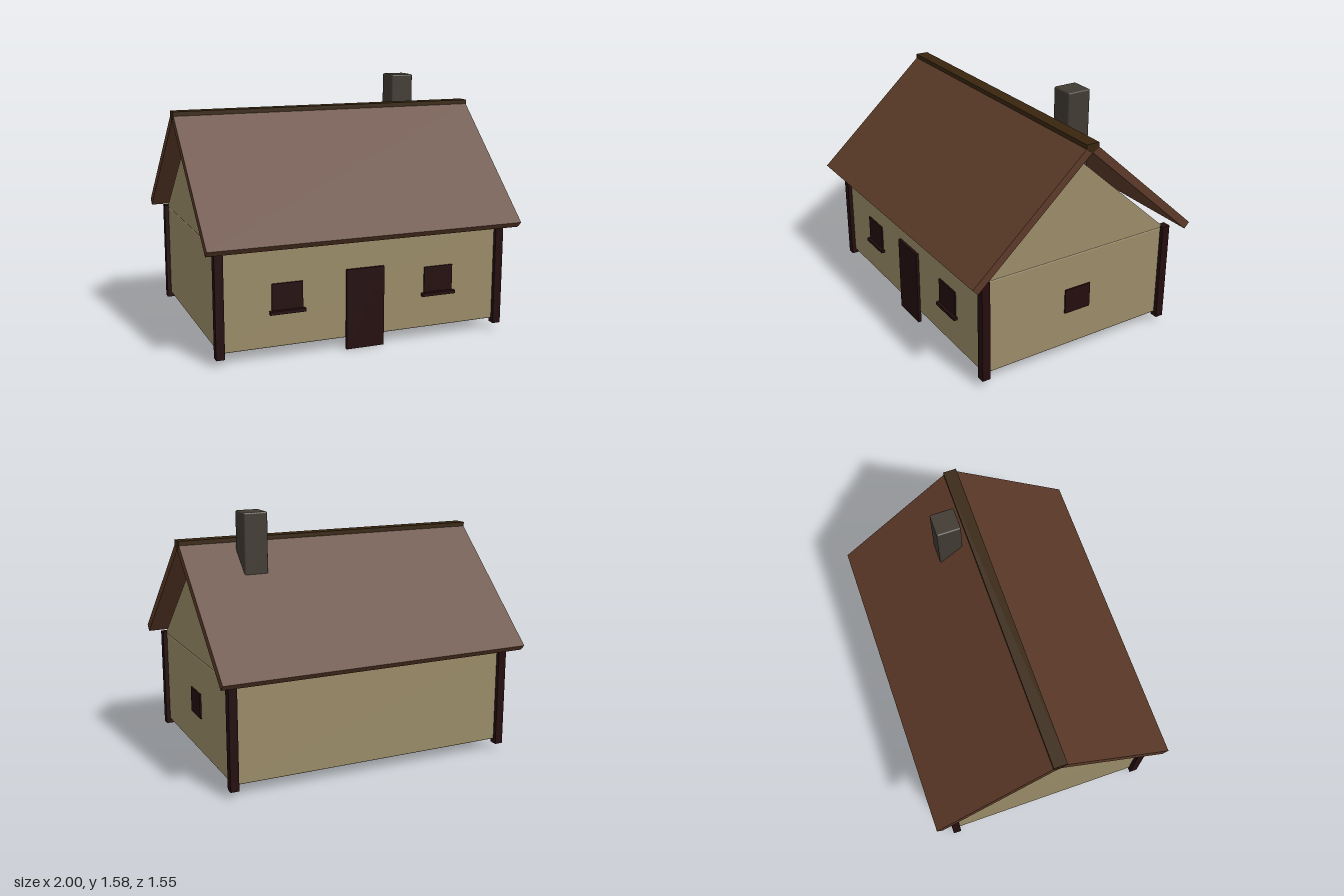
import * as THREE from 'three';
import { RoundedBoxGeometry } from 'three/addons/geometries/RoundedBoxGeometry.js';

const mat = (name, color) => {
  const m = new THREE.MeshStandardMaterial({ color });
  m.name = name;
  return m;
};

export function createModel() {
  const plaster = mat('plaster', 0x9a8b68);
  const roofBrown = mat('roofBrown', 0x5c3a28);
  const ridgeBrown = mat('ridgeBrown', 0x38250f);
  const darkTimber = mat('darkTimber', 0x240d0e);
  const stone = mat('stone', 0x403a32);

  const house = new THREE.Group();
  house.name = 'house';

  const add = (name, geometry, material, x = 0, y = 0, z = 0) => {
    const mesh = new THREE.Mesh(geometry, material);
    mesh.name = name;
    mesh.position.set(x, y, z);
    house.add(mesh);
    return mesh;
  };

  // Box given by its limits on each axis
  const box = (name, material, [x0, x1], [y0, y1], [z0, z1], bevel = 0) => {
    const s = [x1 - x0, y1 - y0, z1 - z0];
    const g = bevel ? new RoundedBoxGeometry(...s, 2, bevel) : new THREE.BoxGeometry(...s);
    return add(name, g, material, (x0 + x1) / 2, (y0 + y1) / 2, (z0 + z1) / 2);
  };

  // Prism with a [z, y] outline, running along x
  const prism = (name, material, outline, x0, x1) => {
    const shape = new THREE.Shape(outline.map(([z, y]) => new THREE.Vector2(-z, y)));
    const g = new THREE.ExtrudeGeometry(shape, { depth: x1 - x0, bevelEnabled: false });
    g.rotateY(Math.PI / 2);
    return add(name, g, material, x0);
  };

  // Walls with softened edges
  box('walls', plaster, [-0.907, 0.907], [0.07, 0.68], [-0.65, 0.65], 0.01);

  // Gable panels at both ends
  const gable = [[-0.647, 0.68], [0.647, 0.68], [0, 1.26]];
  prism('rightGable', plaster, gable, -0.907, -0.867);
  prism('leftGable', plaster, gable, 0.867, 0.907);

  // Two roof slabs, meeting under the ridge
  for (const s of [1, -1]) {
    const slab = [[0.775, 0.715], [0.74, 0.68], [0, 1.35], [0, 1.38], [0.04, 1.38]];
    prism(s > 0 ? 'frontRoof' : 'backRoof', roofBrown, slab.map(([z, y]) => [z * s, y]), -0.998, 0.998);
  }
  prism('ridgeCap', ridgeBrown,
    [[-0.042, 1.405], [0.042, 1.405], [0.042, 1.377], [0, 1.345], [-0.042, 1.377]], -1, 1);

  // Chimney through the back slope
  box('chimney', stone, [0.505, 0.655], [1.0, 1.577], [-0.232, -0.08], 0.01);

  // Corner posts
  for (const x of [-0.907, 0.907]) {
    for (const z of [-0.65, 0.65]) {
      box('cornerPost', darkTimber, [x - 0.026, x + 0.026], [0.043, 0.69], [z - 0.026, z + 0.026]);
    }
  }

  // Door and front windows with sills
  box('door', darkTimber, [-0.123, 0.121], [0, 0.497], [0.647, 0.668]);
  for (const x of [-0.493, 0.491]) {
    box('frontWindow', darkTimber, [x - 0.096, x + 0.096], [0.297, 0.458], [0.65, 0.659]);
    box('windowSill', darkTimber, [x - 0.111, x + 0.111], [0.274, 0.294], [0.645, 0.675]);
  }

  // Window in the chimney-side gable wall
  box('sideWindow', darkTimber, [0.907, 0.916], [0.298, 0.457], [-0.09, 0.09]);

  return house;
}
